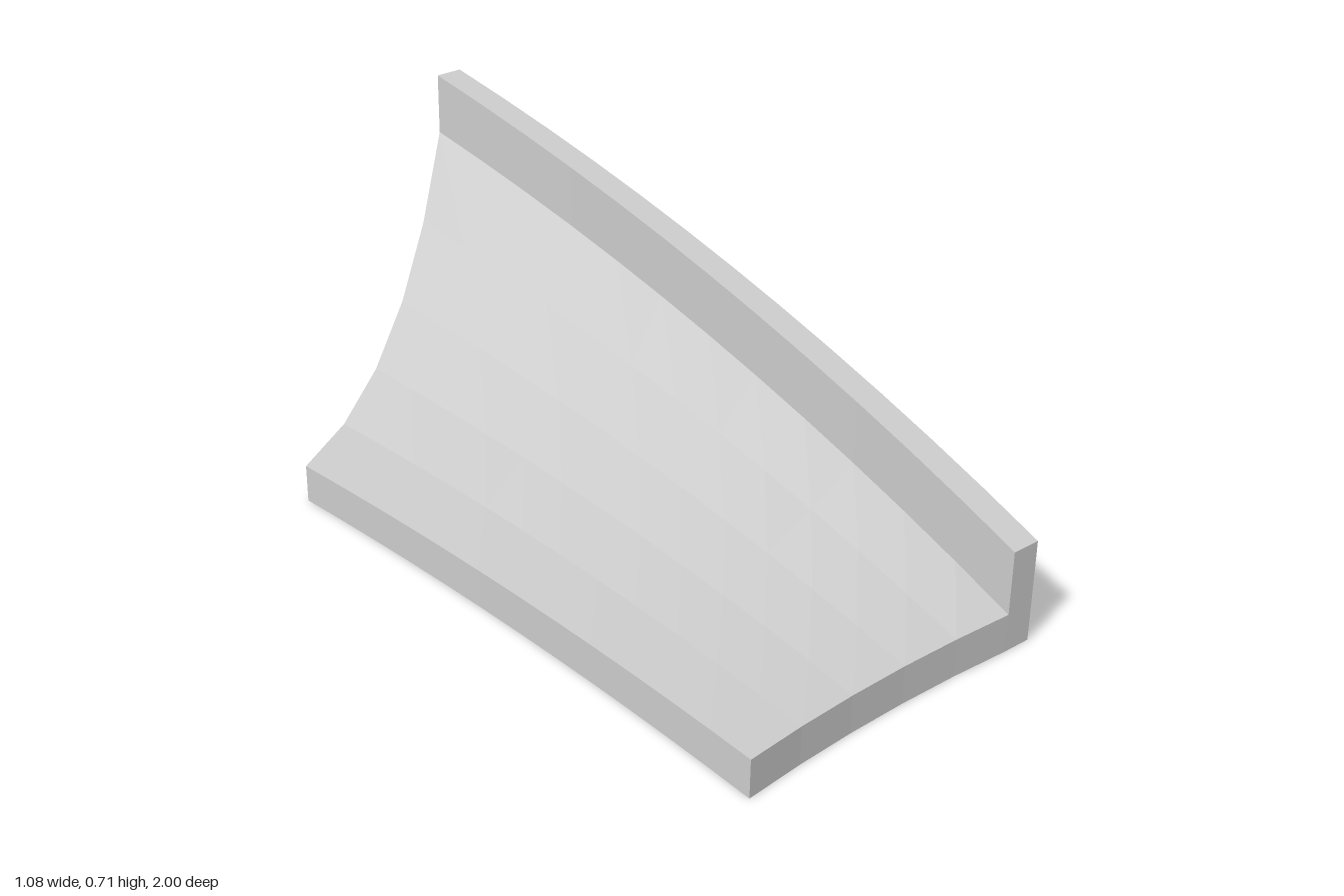
import * as THREE from 'three';

const STEPS = 12; // sections along the length
const lerp = THREE.MathUtils.lerp;
const curve = (...p) => new THREE.QuadraticBezierCurve(...p.map(([x, z]) => new THREE.Vector2(x, z)));

// Plan curves (x, z), from front to back
const leftEdge = curve([-0.54, 0.91], [-0.422, 0.175], [-0.4, -0.56]);
const wallInner = curve([0.21, 0.99], [0.44, -0.005], [0.467, -1.0]);
const wallOuter = curve([0.28, 1.0], [0.5125, 0.005], [0.535, -0.99]);

// Floor height: flat at the front, banking up towards the wall at the back
const rise = (t) => 0.456 * (t + 0.14 * t * (1 - t));
const floorHeight = (u, t) => 0.094 + rise(t) * u * u;
const wallHeight = (t) => 0.25 + rise(t);

// Plan position and height of a floor point; the ends are slightly bowed
function floorPoint(u, t) {
  const a = leftEdge.getPoint(t), b = wallInner.getPoint(t);
  const bow = lerp(-0.017, 0.042, t) * 4 * u * (1 - u);
  return [lerp(a.x, b.x, u), floorHeight(u, t), lerp(a.y, b.y, u) + bow];
}

function wallPoint(u, t) {
  const p = (u < 0.5 ? wallInner : wallOuter).getPoint(t);
  return [p.x, wallHeight(t), p.y];
}

// Solid standing on the ground under a grid of top points.
// leftBase(t) is the bottom of the left side; the right side may be left open.
function solid(name, point, columns, leftBase, closeRight) {
  const verts = [];
  const quad = (a, b, c, d) => verts.push(...a, ...b, ...c, ...a, ...c, ...d);
  const at = (p, y) => [p[0], y, p[2]];
  const P = (i, j) => point(i / columns, j / STEPS);
  for (let j = 0; j < STEPS; j++) {
    for (let i = 0; i < columns; i++) {
      const a = P(i, j), b = P(i + 1, j), c = P(i + 1, j + 1), d = P(i, j + 1);
      quad(a, b, c, d); // top
      quad(at(d, 0), at(c, 0), at(b, 0), at(a, 0)); // underside
    }
    const a = P(0, j), d = P(0, j + 1);
    quad(at(d, leftBase(j / STEPS)), at(a, leftBase(j / STEPS)), a, d);
    // follow the base exactly where it slopes
    const v = verts.length - 18;
    const y = leftBase((j + 1) / STEPS);
    verts[v + 1] = y;
    verts[v + 10] = y;
    if (closeRight) {
      const b = P(columns, j), c = P(columns, j + 1);
      quad(at(b, 0), at(c, 0), c, b);
    }
  }
  for (let i = 0; i < columns; i++) {
    const a = P(i, 0), b = P(i + 1, 0), c = P(i + 1, STEPS), d = P(i, STEPS);
    quad(at(a, 0), at(b, 0), b, a); // front end
    quad(at(c, 0), at(d, 0), d, c); // back end
  }
  const geometry = new THREE.BufferGeometry();
  geometry.setAttribute('position', new THREE.Float32BufferAttribute(verts, 3));
  geometry.computeVertexNormals();
  const mesh = new THREE.Mesh(geometry, new THREE.MeshStandardMaterial({ color: 0xcccccc, flatShading: true }));
  mesh.name = name;
  return mesh;
}

export function createModel() {
  const group = new THREE.Group();
  group.name = 'bankedRamp';
  group.add(solid('rampFloor', floorPoint, 5, () => 0, false));
  group.add(solid('sideWall', wallPoint, 1, (t) => floorHeight(1, t), true));
  return group;
}
